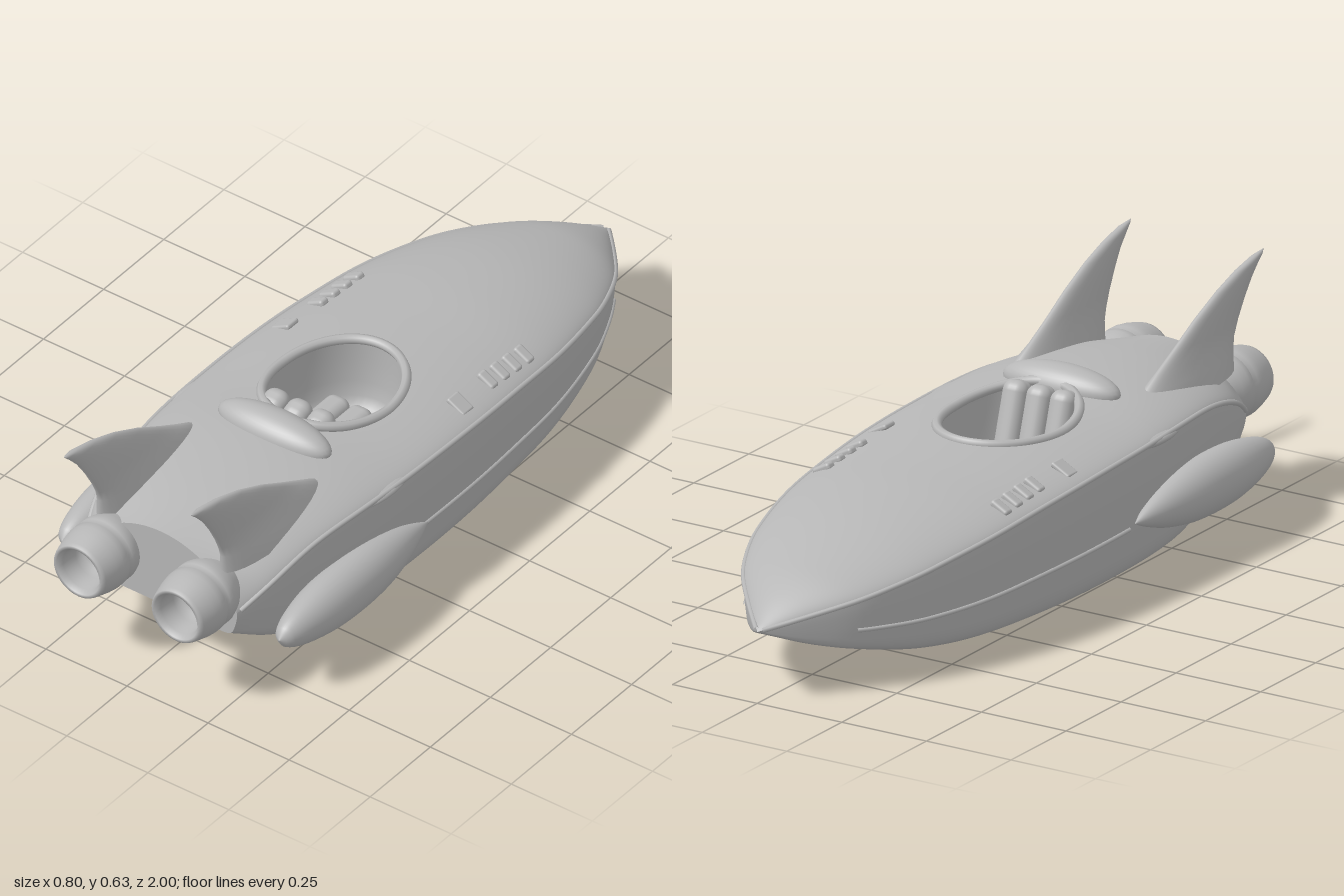
import * as THREE from 'three';
import { mergeGeometries, mergeVertices } from 'three/addons/utils/BufferGeometryUtils.js';
import { RoundedBoxGeometry } from 'three/addons/geometries/RoundedBoxGeometry.js';

// smooth interpolation through [position, value] pairs
function profile(pts) {
  const n = pts.length - 1;
  const slope = i => {
    const a = pts[Math.max(i - 1, 0)], b = pts[Math.min(i + 1, n)];
    return (b[1] - a[1]) / (b[0] - a[0]);
  };
  return z => {
    let i = 0;
    while (i < n - 1 && z > pts[i + 1][0]) i++;
    const [z0, v0] = pts[i], [z1, v1] = pts[i + 1], d = z1 - z0;
    const t = THREE.MathUtils.clamp((z - z0) / d, 0, 1), t2 = t * t, t3 = t2 * t;
    return v0 * (2 * t3 - 3 * t2 + 1) + slope(i) * d * (t3 - 2 * t2 + t) + v1 * (3 * t2 - 2 * t3) + slope(i + 1) * d * (t3 - t2);
  };
}

// surface grid, facing along du x dv
function grid(nu, nv, fn) {
  const pos = [], idx = [];
  for (let i = 0; i <= nu; i++) for (let j = 0; j <= nv; j++) pos.push(...fn(i, j));
  for (let i = 0; i < nu; i++) for (let j = 0; j < nv; j++) {
    const a = i * (nv + 1) + j, b = a + nv + 1;
    idx.push(a, b, a + 1, b, b + 1, a + 1);
  }
  const g = new THREE.BufferGeometry();
  g.setAttribute('position', new THREE.Float32BufferAttribute(pos, 3));
  g.setIndex(idx);
  return g;
}
function smooth(...parts) {
  const g = mergeVertices(mergeGeometries(parts), 1e-5);
  g.computeVertexNormals();
  return g;
}

// hull lines along z: half width, deck height, rail height, keel height
const width = profile([[-1, 0], [-0.9, 0.09], [-0.8, 0.17], [-0.7, 0.222], [-0.6, 0.258], [-0.4, 0.3], [-0.2, 0.318], [0, 0.328], [0.25, 0.328], [0.45, 0.318], [0.6, 0.3], [0.76, 0.275], [0.86, 0.235]]);
const top = profile([[-1, 0.19], [-0.9, 0.255], [-0.8, 0.302], [-0.6, 0.357], [-0.4, 0.387], [-0.2, 0.4], [0, 0.41], [0.25, 0.418], [0.45, 0.432], [0.65, 0.425], [0.86, 0.4]]);
const rail = profile([[-1, 0.19], [-0.8, 0.245], [-0.6, 0.285], [-0.4, 0.313], [-0.2, 0.333], [0, 0.347], [0.2, 0.355], [0.5, 0.36], [0.65, 0.345], [0.76, 0.31], [0.86, 0.25]]);
const keel = profile([[-1, 0.19], [-0.9, 0.145], [-0.8, 0.113], [-0.6, 0.067], [-0.4, 0.042], [-0.1, 0.027], [0.2, 0.024], [0.45, 0.033], [0.6, 0.06], [0.72, 0.1], [0.86, 0.175]]);
const STERN = 0.86, HOLE = { z: 0.14, rx: 0.155, rz: 0.2 };

const deckY = (x, z) => {
  const u = Math.min(Math.abs(x) / Math.max(width(z), 1e-6), 1);
  return rail(z) + (top(z) - rail(z)) * Math.pow(1 - u * u, 0.7);
};
const holeX = z => HOLE.rx * Math.sqrt(Math.max(0, 1 - ((z - HOLE.z) / HOLE.rz) ** 2));

// stations, denser around the cockpit opening
const stations = [];
for (let i = 0; i < 44; i++) stations.push(-1 + i / 44 * (HOLE.z - HOLE.rz + 1));
for (let i = 0; i <= 32; i++) stations.push(HOLE.z - HOLE.rz * Math.cos(i / 32 * Math.PI));
for (let i = 1; i <= 26; i++) stations.push(HOLE.z + HOLE.rz + i / 26 * (STERN - HOLE.z - HOLE.rz));

// lower hull half section, as fractions of width and depth
const chine = new THREE.CatmullRomCurve3([[1, 1], [1, 0.8], [0.985, 0.55], [0.96, 0.3], [0.925, 0.1], [0.86, 0.015], [0.5, 0], [0, 0]].map(p => new THREE.Vector3(p[0], p[1], 0))).getPoints(22);
function lowerPoint(z, j) {
  const side = j <= 22 ? 1 : -1, p = chine[j <= 22 ? j : 44 - j];
  return [side * p.x * width(z), keel(z) + (rail(z) - keel(z)) * p.y, z];
}

export function createModel() {
  const model = new THREE.Group();
  const grey = new THREE.MeshStandardMaterial({ color: 0xb6b6b6 });
  grey.name = 'hull grey';
  const add = (name, geo, x = 0, y = 0, z = 0) => {
    const m = new THREE.Mesh(geo, grey);
    m.name = name;
    m.position.set(x, y, z);
    model.add(m);
    return m;
  };
  const tube = (name, pts, r, closed = false) => add(name, new THREE.TubeGeometry(
    new THREE.CatmullRomCurve3(pts.map(p => new THREE.Vector3(...p)), closed), 90, r, 8, closed));

  // deck in two halves around the opening
  const half = s => grid(stations.length - 1, 22, (i, j) => {
    const z = stations[i], t = Math.sin((s > 0 ? j : 22 - j) / 22 * Math.PI / 2);
    const x = s * THREE.MathUtils.lerp(holeX(z), width(z), t);
    return [x, deckY(x, z), z];
  });
  add('deck', smooth(half(-1), half(1)));
  add('lowerHull', smooth(grid(stations.length - 1, 44, (i, j) => lowerPoint(stations[i], j))));

  // flat stern plate
  const outline = [];
  for (let j = 0; j <= 44; j++) outline.push(new THREE.Vector2(...lowerPoint(STERN, j)));
  for (let j = 1; j < 44; j++) {
    const x = -width(STERN) * Math.cos(j / 44 * Math.PI);
    outline.push(new THREE.Vector2(x, deckY(x, STERN)));
  }
  add('sternPlate', new THREE.ShapeGeometry(new THREE.Shape(outline)), 0, 0, STERN);

  // belly bulge
  add('bellyBulge', new THREE.SphereGeometry(1, 40, 20).scale(0.26, 0.05, 0.24), 0, 0.052, 0.37);

  // cockpit well, rim and headrest cowl
  add('cockpitWell', smooth(grid(7, 48, (i, j) => {
    const a = j / 48 * Math.PI * 2, k = [1, 1, 0.98, 0.95, 0.88, 0.75, 0.4, 0][i];
    const x = HOLE.rx * Math.cos(a), z = HOLE.z + HOLE.rz * Math.sin(a);
    const y = THREE.MathUtils.lerp(deckY(x, z), 0.2, [0, 0.3, 0.6, 0.8, 0.93, 1, 1, 1][i]);
    return [x * k, y, HOLE.z + (z - HOLE.z) * k];
  })));
  const rim = [];
  for (let j = 0; j < 48; j++) {
    const a = j / 48 * Math.PI * 2, x = (HOLE.rx + 0.008) * Math.cos(a), z = HOLE.z + (HOLE.rz + 0.006) * Math.sin(a);
    rim.push([x, deckY(x, z) + 0.012 * Math.max(0, Math.sin(a)), z]);
  }
  tube('cockpitRim', rim, 0.013, true);
  add('headrestCowl', new THREE.SphereGeometry(1, 40, 20).scale(0.17, 0.055, 0.06), 0, 0.42, 0.385);

  // padded seat: three cushions and three back rolls
  for (const x of [-0.07, 0, 0.07]) {
    add('seatCushion', new RoundedBoxGeometry(0.068, 0.07, 0.22, 4, 0.025), x, 0.235, 0.12);
    const back = add('seatBack', new RoundedBoxGeometry(0.068, 0.23, 0.07, 4, 0.028), x, 0.335, 0.265);
    back.rotation.x = 0.3;
  }

  for (const s of [-1, 1]) {
    // rail along the deck edge and crease line on the flank
    const edge = [], crease = [];
    for (let i = 0; i <= 40; i++) {
      const z = -0.99 + i / 40 * 1.84;
      edge.push([s * width(z), rail(z), z]);
    }
    for (let i = 0; i <= 20; i++) {
      const z = -0.8 + i / 20;
      crease.push([s * width(z) * 0.972, keel(z) + (rail(z) - keel(z)) * 0.4, z]);
    }
    tube('edgeRail', edge, 0.007);
    tube('flankCrease', crease, 0.006);
    add('railFlare', new THREE.SphereGeometry(1, 20, 12).scale(0.032, 0.016, 0.1), s * 0.304, 0.353, 0.34);

    // louvres and a small scoop on the deck
    for (const z of [-0.295, -0.245, -0.195, -0.145]) {
      const v = add('louvre', new RoundedBoxGeometry(0.055, 0.02, 0.03, 3, 0.008), s * 0.262, deckY(0.262, z), z);
      v.rotation.z = -s * 0.5;
    }
    const scoop = add('deckScoop', new RoundedBoxGeometry(0.06, 0.014, 0.045, 3, 0.006), s * 0.27, deckY(0.27, -0.02), -0.02);
    scoop.rotation.z = -s * 0.5;

    // side pod: pointed nose, blunt tail
    const podR = profile([[0.2, 0], [0.25, 0.3], [0.33, 0.66], [0.43, 0.92], [0.53, 1], [0.64, 0.94], [0.74, 0.7], [0.8, 0.38], [0.82, 0]]);
    add('sidePod', smooth(grid(36, 32, (i, j) => {
      const z = 0.51 - 0.31 * Math.cos(i / 36 * Math.PI), a = j / 32 * Math.PI * 2, r = Math.max(0, podR(z));
      return [s * 0.335 + 0.066 * r * Math.cos(a), 0.18 + (z - 0.5) * 0.02 - 0.077 * r * Math.sin(a), z];
    })));

    // engine nozzle with a hollow mouth
    const nozzle = [[0.06, 0.8], [0.084, 0.85], [0.091, 0.875], [0.091, 0.892], [0.085, 0.898], [0.092, 0.91], [0.092, 0.93], [0.088, 0.955], [0.079, 0.99], [0.075, 1], [0.066, 1], [0.058, 0.985], [0.053, 0.94], [0.049, 0.915], [0, 0.91]];
    add('engineNozzle', new THREE.LatheGeometry(nozzle.map(p => new THREE.Vector2(...p)), 40).rotateX(Math.PI / 2), s * 0.151, 0.289, 0);

    // swept tail fin: rows of height, leading z, trailing z, centre x, half thickness
    const rows = [[0.36, 0.42, 0.86, 0.19, 0.055], [0.41, 0.47, 0.862, 0.19, 0.042], [0.44, 0.525, 0.872, 0.189, 0.028], [0.48, 0.6, 0.89, 0.19, 0.023], [0.53, 0.69, 0.918, 0.192, 0.02], [0.575, 0.785, 0.948, 0.194, 0.016], [0.605, 0.87, 0.975, 0.195, 0.013], [0.622, 0.94, 0.993, 0.196, 0.009], [0.63, 0.99, 1, 0.196, 0]];
    add('tailFin', smooth(grid(rows.length - 1, 28, (i, j) => {
      const [y, z0, z1, x, t] = rows[i], a = j / 28 * Math.PI * 2;
      return [s * x + t * Math.sin(a), y, (z0 + z1) / 2 - (z1 - z0) / 2 * Math.cos(a)];
    })));
  }
  return model;
}
